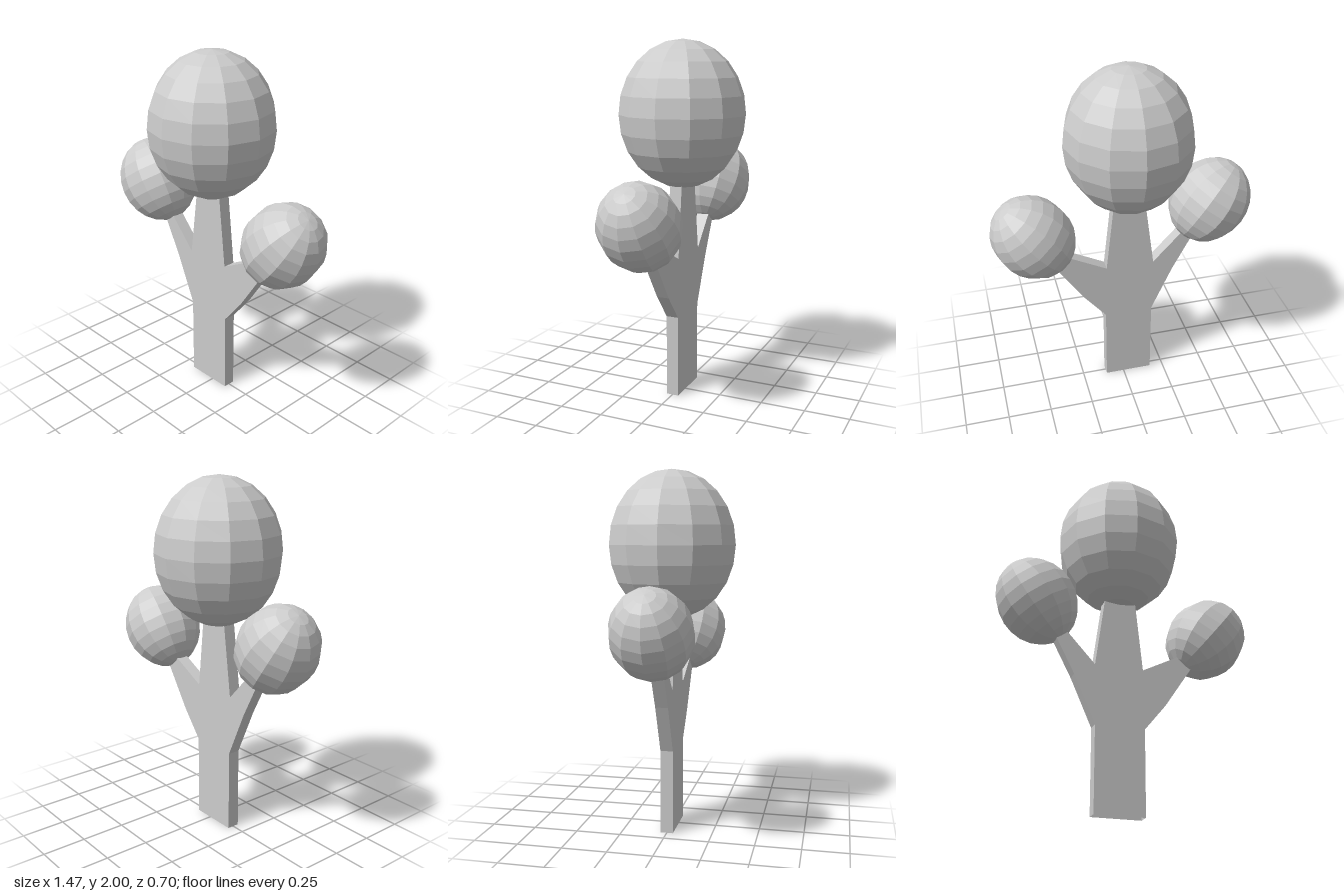
import * as THREE from 'three';

const material = new THREE.MeshStandardMaterial({
  color: 0xcccccc, flatShading: true, side: THREE.DoubleSide,
});

// Faceted egg-shaped clump of leaves, leaning sideways by tilt degrees
function foliage(name, x, y, radius, halfHeight, tilt) {
  const mesh = new THREE.Mesh(new THREE.SphereGeometry(1, 12, 12), material);
  mesh.name = name;
  mesh.scale.set(radius, halfHeight, radius);
  mesh.position.set(x, y, 0);
  mesh.rotation.z = THREE.MathUtils.degToRad(tilt);
  return mesh;
}

// Removes the triangles lying on the ground, leaving the trunk open below
function openBottom(geometry) {
  const p = geometry.attributes.position.array;
  const kept = [];
  for (let i = 0; i < p.length; i += 9) {
    const top = Math.max(p[i + 1], p[i + 4], p[i + 7]);
    if (top > 1e-4) kept.push(...p.slice(i, i + 9));
  }
  const open = new THREE.BufferGeometry();
  open.setAttribute('position', new THREE.Float32BufferAttribute(kept, 3));
  open.computeVertexNormals();
  return open;
}

export function createModel() {
  const group = new THREE.Group();
  group.name = 'tree';

  // Flat trunk with three forks, ends hidden inside the foliage
  const outline = [
    [-0.17, 0], [0.108, 0], [0.108, 0.47], [0.23, 0.62], [0.41, 0.89],
    [0.37, 0.95], [0.1, 0.81], [0.055, 1.23], [-0.12, 1.23], [-0.175, 0.81],
    [-0.36, 1.01], [-0.41, 0.97], [-0.29, 0.74], [-0.17, 0.47],
  ].map(([x, y]) => new THREE.Vector2(x, y));
  const depth = 0.07;
  const geometry = new THREE.ExtrudeGeometry(new THREE.Shape(outline), {
    depth, bevelEnabled: false,
  });
  geometry.translate(0, 0, -depth / 2);
  const trunk = new THREE.Mesh(openBottom(geometry), material);
  trunk.name = 'trunk';

  group.add(
    trunk,
    foliage('topFoliage', -0.035, 1.595, 0.352, 0.405, 0),
    foliage('rightFoliage', -0.505, 1.158, 0.22, 0.252, 35),
    foliage('leftFoliage', 0.5, 1.07, 0.22, 0.252, -39),
  );
  return group;
}
